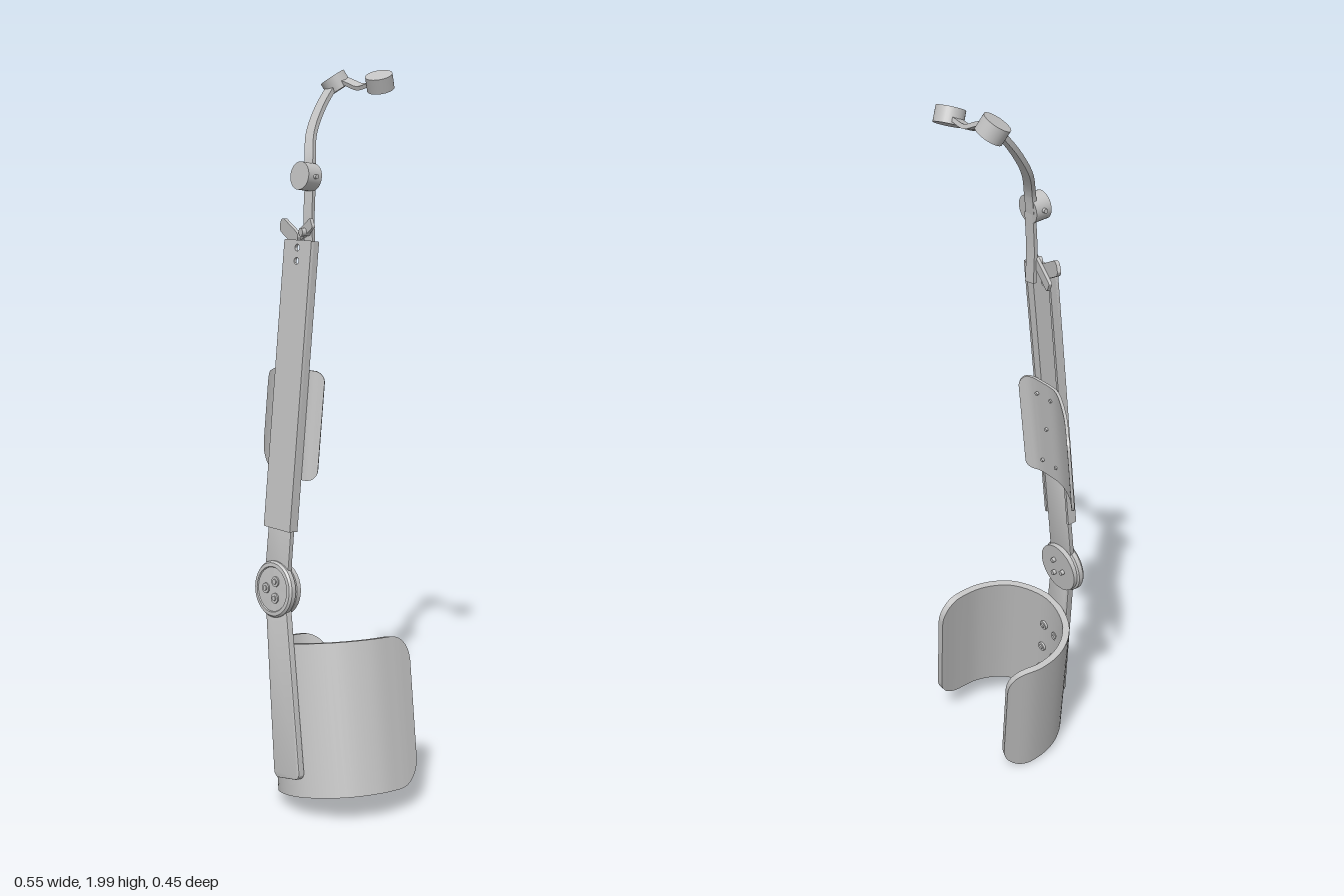
import * as THREE from 'three';
import { toCreasedNormals } from 'three/addons/utils/BufferGeometryUtils.js';

const V = (a) => new THREE.Vector3(...a);

// Sweep a flat strip along a smooth path; the strip spans lo..hi along axis.
function sweep(points, axis, thick, lo, hi, round = 0, steps = 48) {
  const curve = new THREE.CatmullRomCurve3(points.map(V));
  const ax = V(axis).normalize(), len = curve.getLength(), sections = [];
  for (let i = 0; i <= steps; i++) {
    const t = (1 - Math.cos(Math.PI * i / steps)) / 2;
    const p = curve.getPointAt(t);
    const n = curve.getTangentAt(t).cross(ax).normalize().multiplyScalar(thick / 2);
    const d = Math.min(t, 1 - t) * len;
    const inset = d < round ? round - Math.sqrt(round * round - (round - d) ** 2) : 0;
    const at = (h, s) => p.clone().addScaledVector(ax, h).addScaledVector(n, s);
    const a = lo(t) + inset, b = hi(t) - inset;
    sections.push([at(a, -1), at(b, -1), at(b, 1), at(a, 1)]);
  }
  const pos = [];
  const quad = (a, b, c, d) => [a, b, c, a, c, d].forEach((v) => pos.push(v.x, v.y, v.z));
  for (let i = 0; i < steps; i++) {
    const s = sections[i], e = sections[i + 1];
    for (let j = 0; j < 4; j++) quad(s[j], s[(j + 1) % 4], e[(j + 1) % 4], e[j]);
  }
  const [a, b, c, d] = sections[0];
  quad(d, c, b, a);
  quad(...sections[steps]);
  const g = new THREE.BufferGeometry();
  g.setAttribute('position', new THREE.Float32BufferAttribute(pos, 3));
  return toCreasedNormals(g, 0.6);
}

// Plate cut from a shape, its back at z and its front at z + depth.
function plate(shape, z, depth, bevel = 0) {
  const g = new THREE.ExtrudeGeometry(shape, {
    depth: depth - 2 * bevel, bevelEnabled: bevel > 0, bevelSize: bevel,
    bevelOffset: -bevel, bevelThickness: bevel, bevelSegments: 2, curveSegments: 16,
  });
  return toCreasedNormals(g.translate(0, 0, z + bevel), 0.6);
}

// Tapered bar with rounded corners, running from y0 up to y1.
function barShape(w0, w1, y0, y1, r) {
  const s = new THREE.Shape();
  s.moveTo(-w0 + r, y0);
  s.lineTo(w0 - r, y0);
  s.quadraticCurveTo(w0, y0, w0, y0 + r);
  s.lineTo(w1, y1 - r);
  s.quadraticCurveTo(w1, y1, w1 - r, y1);
  s.lineTo(-w1 + r, y1);
  s.quadraticCurveTo(-w1, y1, -w1, y1 - r);
  s.lineTo(-w0, y0 + r);
  s.quadraticCurveTo(-w0, y0, -w0 + r, y0);
  return s;
}

export function createModel() {
  const root = new THREE.Group();
  root.name = 'armBrace';
  const metal = new THREE.MeshStandardMaterial({ color: 0xc2c2c2 });
  metal.name = 'light grey';

  const add = (parent, name, geo, at = [0, 0, 0], rot = [0, 0, 0]) => {
    const m = new THREE.Mesh(geo, metal);
    m.name = name;
    m.position.set(...at);
    m.rotation.set(...rot);
    parent.add(m);
    return m;
  };
  const group = (parent, name, at, rot) => {
    const g = new THREE.Group();
    g.name = name;
    g.position.set(...at);
    g.rotation.set(...rot);
    parent.add(g);
    return g;
  };
  // Short cylinder whose axis points along dir
  const drum = (parent, name, r, h, at, dir) => {
    const m = add(parent, name, new THREE.CylinderGeometry(r, r, h, 32), at);
    m.quaternion.setFromUnitVectors(V([0, 1, 0]), V(dir).normalize());
    return m;
  };
  const Z = [0, 0, 1];

  // Lower section: cuff, strip and hinge share one tilted frame
  const lower = group(root, 'lowerSection', [-0.055, 0.61, 0.155], [-0.123, 0, 0.193]);
  const cuffPath = [
    [-0.135, 0, -0.115], [-0.172, 0, -0.04], [-0.165, 0, 0.06], [-0.11, 0, 0.138], [0, 0, 0.177],
    [0.11, 0, 0.138], [0.165, 0, 0.06], [0.18, 0, -0.02], [0.183, 0, -0.085],
  ];
  add(lower, 'lowerCuff', sweep(cuffPath, [0, 1, 0], 0.019, () => -0.562, () => -0.15, 0.075, 64),
    [0.032, 0, -0.194]);

  const strut = group(lower, 'lowerStrut', [0, 0, 0], [0, -0.13, 0]);
  add(strut, 'lowerStrip', plate(barShape(0.053, 0.043, -0.512, 0, 0.022), -0.013, 0.02, 0.004));
  for (let row = 0; row < 3; row++) {
    for (const side of [-1, 1]) {
      drum(strut, 'cuffBolt', 0.014, 0.02, [side * 0.028, -0.26 - row * 0.095, -0.027], Z);
      drum(strut, 'cuffBoltPin', 0.007, 0.028, [side * 0.028, -0.26 - row * 0.095, -0.027], Z);
    }
  }

  // Hinge cap with a shallow stepped face
  const cap = [[0, -0.008], [0.07, -0.008], [0.077, -0.003], [0.077, 0.01], [0.072, 0.016],
    [0.062, 0.017], [0.06, 0.014], [0, 0.014]].map((p) => new THREE.Vector2(...p));
  add(strut, 'hingeCap', toCreasedNormals(new THREE.LatheGeometry(cap, 48), 0.5), [0, 0, 0], [Math.PI / 2, 0, 0]);
  for (let i = 0; i < 3; i++) {
    const a = 0.9 + i * Math.PI * 2 / 3, x = Math.cos(a) * 0.026, y = Math.sin(a) * 0.026;
    drum(strut, 'hingeBolt', 0.014, 0.006, [x, y, 0.015], Z);
    drum(strut, 'hingeBoltHead', 0.007, 0.006, [x, y, 0.018], Z);
    drum(strut, 'hingeRearBolt', 0.007, 0.01, [x, y, -0.028], Z);
  }

  // Upper section: channel bar, hinge bracket and arm pad
  const upper = group(root, 'upperSection', [-0.055, 0.61, 0.16], [-0.099, -0.1, -0.016]);
  const face = barShape(0.053, 0.053, 0.166, 0.94, 0.004);
  for (const y of [0.92, 0.885]) {
    const hole = new THREE.Path();
    hole.absarc(0, y, 0.009, 0, Math.PI * 2, true);
    face.holes.push(hole);
  }
  add(upper, 'channelFace', plate(face, 0.002, 0.009));
  for (const side of [-1, 1]) {
    add(upper, 'channelFlange', new THREE.BoxGeometry(0.008, 0.772, 0.027), [side * 0.049, 0.553, -0.003]);
  }
  add(upper, 'hingeBracket', plate(barShape(0.047, 0.045, 0, 0.3, 0.01), -0.013, 0.014, 0.003));
  drum(upper, 'hingeBackPlate', 0.072, 0.014, [0, 0, -0.02], [0.02, 0.02, 1]);

  const padPath = [[-0.241, 0, -0.137], [-0.146, 0, -0.071], [-0.056, 0, -0.027], [0, 0, -0.021],
    [0.062, 0, -0.024], [0.086, 0, -0.044]];
  const grow = (t) => Math.min(1, t / 0.55);
  add(upper, 'armPad', sweep(padPath, [0, 1, 0], 0.008,
    (t) => 0.35 - 0.043 * grow(t), (t) => 0.565 + 0.036 * grow(t), 0.03));
  for (const [x, y] of [[-0.03, 0.56], [0.03, 0.56], [0, 0.46], [-0.03, 0.35], [0.03, 0.35]]) {
    drum(upper, 'padScrew', 0.005, 0.012, [x, y, -0.025], Z);
  }

  // Small crossed levers above the channel
  const levers = group(root, 'levers', [-0.08, 1.555, 0.035], [0, -0.33, 0]);
  add(levers, 'shortLever', plate(barShape(0.02, 0.02, -0.052, 0.052, 0.018), -0.004, 0.01),
    [-0.043, 0.008, 0], [0, 0, 1.13]);
  add(levers, 'longLever', plate(barShape(0.014, 0.014, -0.07, 0.07, 0.005), -0.014, 0.009),
    [0, 0.002, 0], [0, 0, -1.07]);
  drum(levers, 'leverPin', 0.011, 0.03, [0.025, 0.01, -0.008], Z);

  // Wrist link and joint
  const flat = (h) => [() => -h, () => h];
  add(root, 'wristLink', sweep([[-0.048, 1.51, 0.024], [-0.053, 1.6, 0.022], [-0.057, 1.7, 0.012]],
    [1, 0, 0], 0.011, ...flat(0.015), 0, 12));
  drum(root, 'wristJoint', 0.037, 0.046, [-0.056, 1.71, 0.03], [-0.12, 0.12, 1]);
  drum(root, 'wristPin', 0.006, 0.09, [-0.056, 1.71, 0.03], [1, 0, 0.12]);

  // Curved link up to the end joints
  add(root, 'curvedLink', sweep([[-0.062, 1.7, 0.012], [-0.068, 1.755, 0], [-0.1, 1.82, -0.04],
    [-0.122, 1.89, -0.1], [-0.132, 1.955, -0.165]], [1, 0.1, 0], 0.013, ...flat(0.015)));
  drum(root, 'innerEndJoint', 0.037, 0.04, [-0.132, 1.96, -0.178], [-0.4, 0.85, 0.36]);
  add(root, 'endLink', sweep([[-0.12, 1.972, -0.177], [-0.085, 1.96, -0.179], [-0.05, 1.948, -0.182],
    [-0.01, 1.954, -0.178], [0.02, 1.957, -0.174]], [0, -0.35, 1], 0.011, ...flat(0.015), 0, 24));
  drum(root, 'outerEndJoint', 0.037, 0.04, [0.028, 1.957, -0.172], [0.12, 0.85, 0.36]);

  return root;
}
